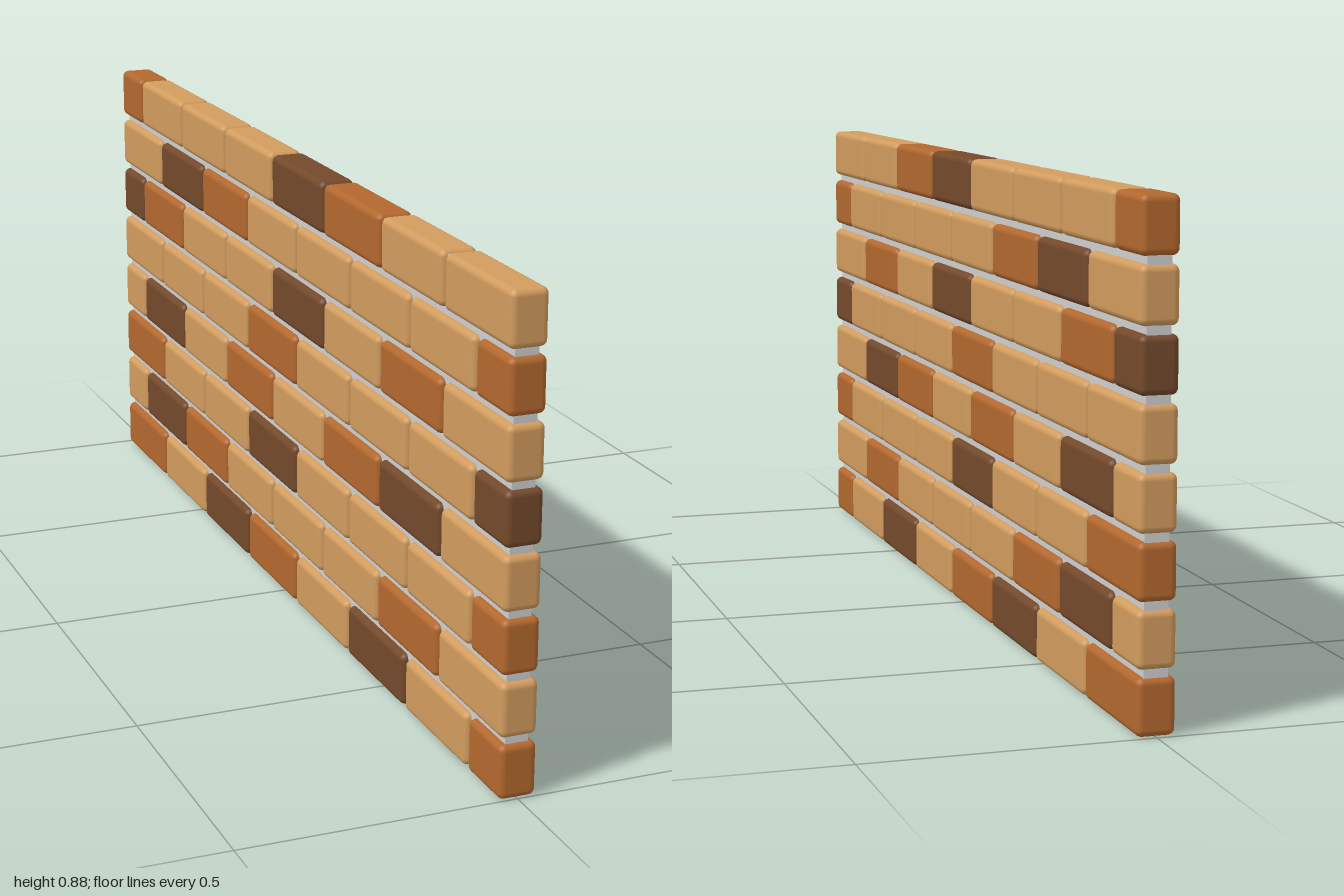
import * as THREE from 'three';
import { RoundedBoxGeometry } from 'three/addons/geometries/RoundedBoxGeometry.js';

const PITCH_Y = 0.111, PITCH_Z = 0.267;
const HEIGHT = 0.098, LENGTH = 0.256, HALF = 0.128, DEPTH = 0.068, RADIUS = 0.012;

// Courses from the bottom up, each running from +z to -z.
// T = tan, O = orange, D = dark; even courses start with a half brick, odd ones end with one.
const COURSES = [
  'OTDTODTO',
  'TOTTTODT',
  'OTTTDTTO',
  'TDOTOTDT',
  'DTTTOTTT',
  'TOTDTTOD',
  'OTTTTODT',
  'TTODTTTO',
];

function material(name, color) {
  const m = new THREE.MeshStandardMaterial({ color });
  m.name = name;
  return m;
}

export function createModel() {
  const wall = new THREE.Group();
  wall.name = 'brickWall';

  const bricks = {
    T: material('tanBrick', 0xd29c5e),
    O: material('orangeBrick', 0xb3682e),
    D: material('darkBrick', 0x74492b),
  };
  const mortar = material('greyMortar', 0xcfcfd0);

  const fullBrick = new RoundedBoxGeometry(DEPTH, HEIGHT, LENGTH, 3, RADIUS);
  const halfBrick = new RoundedBoxGeometry(DEPTH, HEIGHT, HALF, 3, RADIUS);

  // Brick courses in running bond
  COURSES.forEach((codes, row) => {
    const course = new THREE.Group();
    course.name = `course${row + 1}`;
    const startsHalf = row % 2 === 0;
    let z = 1;
    [...codes].forEach((code, i) => {
      const isHalf = startsHalf ? i === 0 : i === codes.length - 1;
      const length = isHalf ? HALF : LENGTH;
      const brick = new THREE.Mesh(isHalf ? halfBrick : fullBrick, bricks[code]);
      brick.name = isHalf ? 'halfBrick' : 'brick';
      brick.position.set(0, 0.052 + row * PITCH_Y, z - length / 2);
      course.add(brick);
      z -= length + PITCH_Z - LENGTH;
    });
    wall.add(course);
  });

  // Recessed mortar slab filling the joints
  const slab = new THREE.Mesh(new THREE.BoxGeometry(0.042, 0.862, 1.98), mortar);
  slab.name = 'mortar';
  slab.position.y = 0.44;
  wall.add(slab);

  return wall;
}
